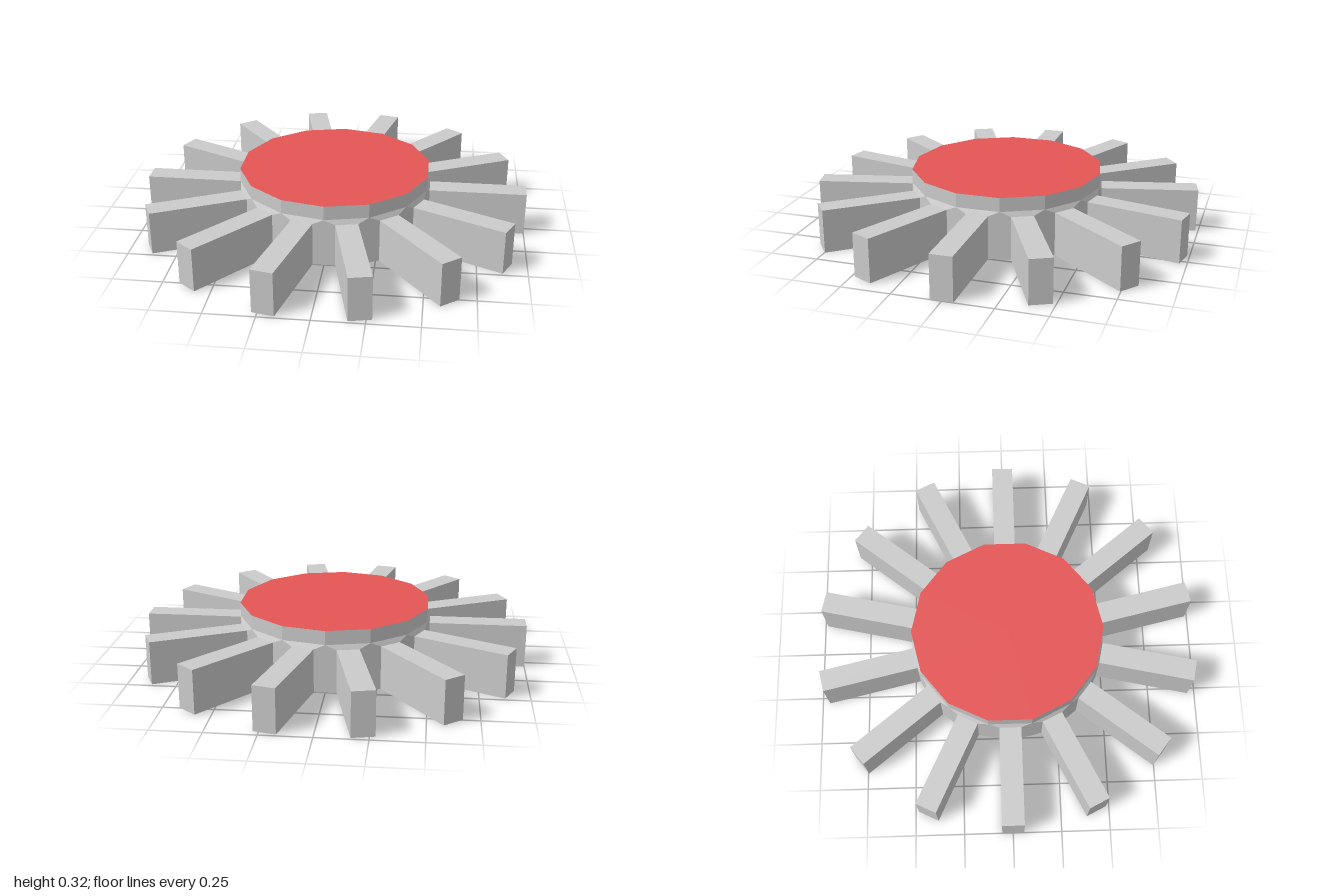
import * as THREE from 'three';

const TEETH = 14;
const STEP = (Math.PI * 2) / TEETH;
const HUB_R = 0.5;        // hub flats and cap corners
const TOOTH_HALF = HUB_R * Math.tan(STEP / 4);
const GEAR_H = 0.225, CAP_Y = 0.25, TOP_Y = 0.322;

const grey = new THREE.MeshStandardMaterial({ color: 0xcccccc, flatShading: true });
const red = new THREE.MeshStandardMaterial({ color: 0xe55555, flatShading: true });

function addMesh(group, name, geometry, material) {
  const mesh = new THREE.Mesh(geometry, material);
  mesh.name = name;
  group.add(mesh);
  return mesh;
}

// Hub and straight teeth as one outline: inner and outer corners of each tooth in turn
function gearGeometry() {
  const points = [];
  for (let i = 0; i < TEETH; i++) {
    const corners = [[HUB_R, -TOOTH_HALF], [1, -TOOTH_HALF], [1, TOOTH_HALF], [HUB_R, TOOTH_HALF]];
    for (const [x, y] of corners) {
      points.push(new THREE.Vector2(x, y).rotateAround(new THREE.Vector2(), i * STEP));
    }
  }
  const geometry = new THREE.ExtrudeGeometry(new THREE.Shape(points), { depth: GEAR_H, bevelEnabled: false });
  return geometry.rotateX(-Math.PI / 2);
}

// Faceted collar from the 28-sided hub up to the 14-sided cap
function collarGeometry() {
  const lowR = Math.hypot(HUB_R, TOOTH_HALF);
  const positions = [];
  const at = (r, a, y) => [r * Math.cos(a), y, -r * Math.sin(a)];
  for (let i = 0; i < TEETH; i++) {
    const a = i * STEP;
    const left = at(lowR, a - STEP / 4, GEAR_H);
    const right = at(lowR, a + STEP / 4, GEAR_H);
    const next = at(lowR, a + STEP * 0.75, GEAR_H);
    const topLeft = at(HUB_R, a - STEP / 2, CAP_Y);
    const topRight = at(HUB_R, a + STEP / 2, CAP_Y);
    positions.push(
      ...left, ...right, ...topRight,
      ...left, ...topRight, ...topLeft,
      ...right, ...next, ...topRight
    );
  }
  const geometry = new THREE.BufferGeometry();
  geometry.setAttribute('position', new THREE.Float32BufferAttribute(positions, 3));
  geometry.computeVertexNormals();
  return geometry;
}

export function createModel() {
  const group = new THREE.Group();
  group.name = 'toothedWheel';

  addMesh(group, 'gearTeethAndHub', gearGeometry(), grey);
  addMesh(group, 'collar', collarGeometry(), grey);

  // Cap rim with a coloured top face
  const rim = new THREE.CylinderGeometry(HUB_R, HUB_R, TOP_Y - CAP_Y, TEETH, 1, true);
  addMesh(group, 'capRim', rim, grey).position.y = (CAP_Y + TOP_Y) / 2;

  const face = new THREE.CircleGeometry(HUB_R, TEETH, Math.PI / 2).rotateX(-Math.PI / 2);
  addMesh(group, 'capFace', face, red).position.y = TOP_Y;

  return group;
}
